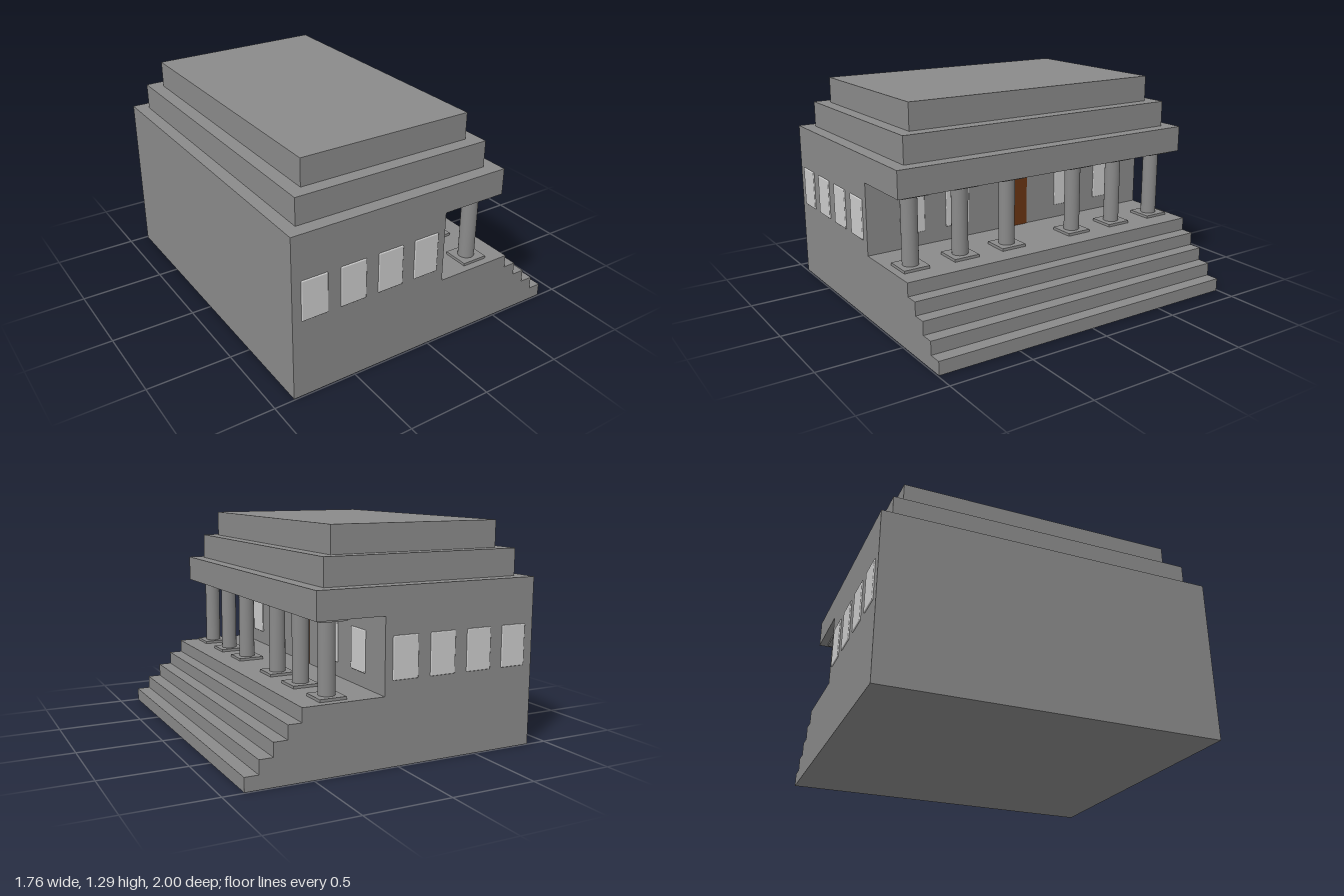
import * as THREE from 'three';
import { RoundedBoxGeometry } from 'three/addons/geometries/RoundedBoxGeometry.js';

const material = (color) => new THREE.MeshStandardMaterial({ color });

export function createModel() {
  const model = new THREE.Group();
  const stone = material(0x8a8a8a);
  const glass = material(0xcccccc);
  const wood = material(0x693513);

  const add = (name, geometry, mat, x, y, z, parent = model) => {
    const mesh = new THREE.Mesh(geometry, mat);
    mesh.name = name;
    mesh.position.set(x, y, z);
    parent.add(mesh);
    return mesh;
  };

  const halfDepth = 0.993, wallX = 0.085, porchY = 0.392, ceilingY = 0.82, eavesY = 0.977;

  // Hall, porch and steps: one side profile extruded across the building
  const profile = new THREE.Shape();
  profile.moveTo(-0.88, 0);
  profile.lineTo(0.88, 0);
  const rise = porchY / 5, tread = 0.079;
  for (let i = 0; i < 5; i++) {
    profile.lineTo(0.88 - i * tread, (i + 1) * rise);
    if (i < 4) profile.lineTo(0.88 - (i + 1) * tread, (i + 1) * rise);
  }
  profile.lineTo(wallX, porchY);
  profile.lineTo(wallX, ceilingY);
  profile.lineTo(0.485, ceilingY);
  profile.lineTo(0.485, eavesY);
  profile.lineTo(-0.88, eavesY);
  profile.closePath();
  const hall = new THREE.ExtrudeGeometry(profile, { depth: 2 * halfDepth, bevelEnabled: false });
  add('hallAndSteps', hall, stone, 0, 0, -halfDepth);

  // Stepped roof
  add('lowerRoof', new THREE.BoxGeometry(1.21, 0.157, 1.826), stone, -0.2, 1.0555, 0);
  add('upperRoof', new THREE.BoxGeometry(1.052, 0.157, 1.67), stone, -0.199, 1.2125, 0);

  // Columns with square base and capital
  const shaft = new THREE.CylinderGeometry(0.047, 0.047, ceilingY - porchY - 0.03, 32);
  const slab = new THREE.BoxGeometry(0.157, 0.016, 0.157);
  for (const z of [0.87, 0.556, 0.24, -0.238, -0.553, -0.87]) {
    const column = new THREE.Group();
    column.name = 'column';
    column.position.set(0.365, 0, z);
    add('shaft', shaft, stone, 0, (porchY + ceilingY) / 2, 0, column);
    add('base', slab, stone, 0, porchY + 0.008, 0, column);
    add('capital', slab, stone, 0, ceilingY - 0.008, 0, column);
    model.add(column);
  }

  // Windows: slim rounded panes set into the side and porch walls
  const pane = new RoundedBoxGeometry(0.158, 0.24, 0.014, 3, 0.006);
  const windowY = 0.594;
  for (const side of [1, -1])
    for (let i = 0; i < 4; i++)
      add('sideWindow', pane, glass, -0.747 + i * 0.2355, windowY, side * halfDepth);
  for (const z of [0.705, 0.405, -0.39, -0.708])
    add('porchWindow', pane, glass, wallX, windowY, z).rotation.y = Math.PI / 2;

  // Entrance door
  add('door', new THREE.BoxGeometry(0.012, 0.32, 0.16), wood, wallX, porchY + 0.16, -0.015);

  return model;
}
